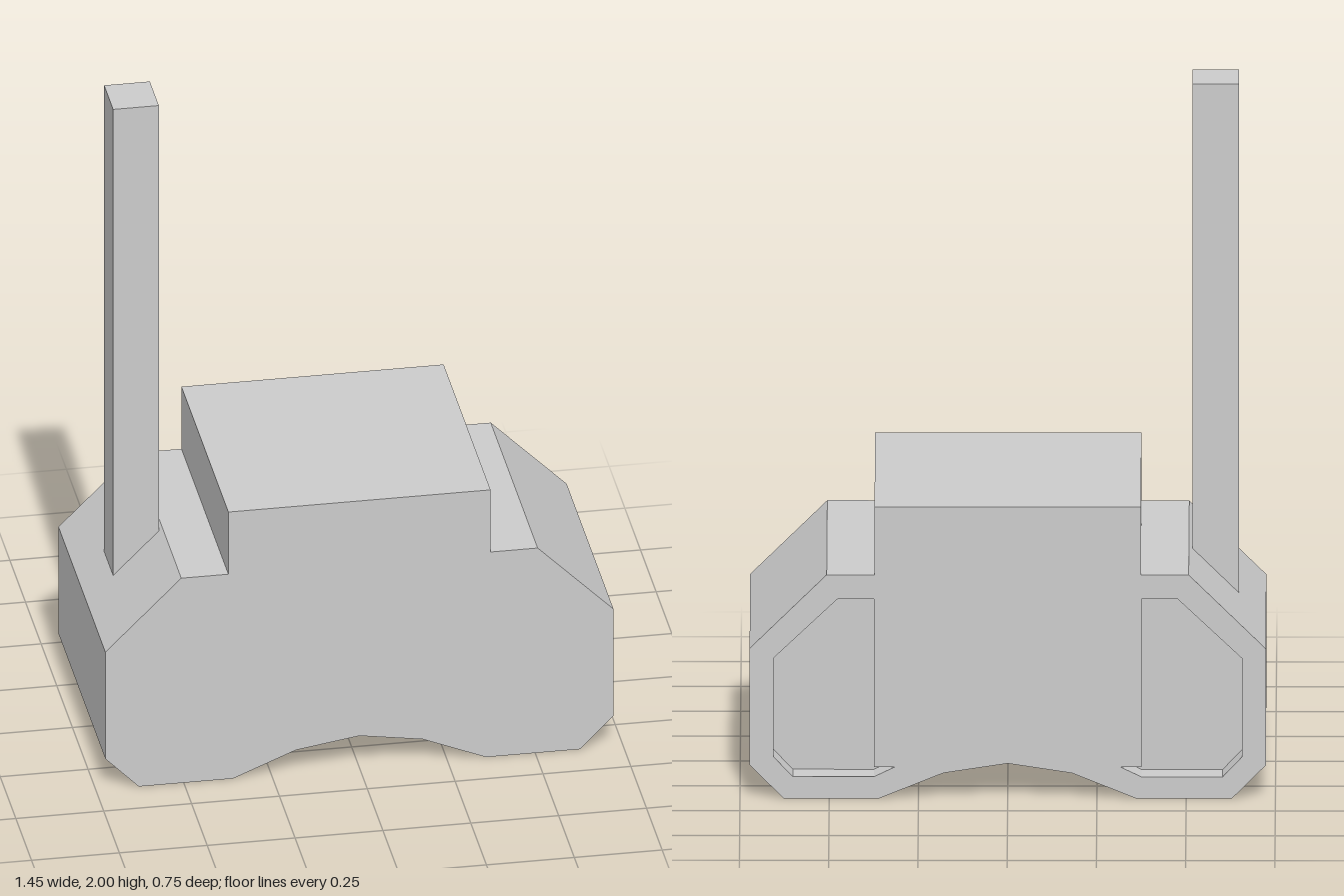
import * as THREE from 'three';

const HALF_DEPTH = 0.375;
const RECESS_DEPTH = 0.075;

// Right halves of the symmetric outlines (x, y)
const BODY = [
  [0, 0.105], [0.18, 0.077], [0.36, 0.003], [0.628, 0.003], [0.723, 0.1],
  [0.723, 0.44], [0.507, 0.655], [0.373, 0.655], [0.373, 0.853],
];
const RECESS = [
  [0.315, 0.095], [0.375, 0.066], [0.602, 0.066], [0.656, 0.124],
  [0.656, 0.412], [0.476, 0.585], [0.375, 0.585], [0.375, 0.095],
];

const points = (list, sx = 1) => list.map(([x, y]) => new THREE.Vector2(x * sx, y));

function bodyShape() {
  const left = points(BODY.slice(1), -1).reverse();
  return new THREE.Shape([...points(BODY), ...left]);
}

export function createModel() {
  const group = new THREE.Group();
  const material = new THREE.MeshStandardMaterial({ color: 0xcccccc, flatShading: true });

  const add = (name, geometry, x, y, z) => {
    const mesh = new THREE.Mesh(geometry, material);
    mesh.name = name;
    mesh.position.set(x, y, z);
    group.add(mesh);
  };
  const extrude = (shape, depth) =>
    new THREE.ExtrudeGeometry(shape, { depth, bevelEnabled: false });

  // Solid main body, its rear face forming the floor of the recesses
  add('body', extrude(bodyShape(), 2 * HALF_DEPTH - RECESS_DEPTH), 0, 0, RECESS_DEPTH - HALF_DEPTH);

  // Rear slab with a mirrored pair of recesses
  const rear = bodyShape();
  for (const side of [1, -1]) rear.holes.push(new THREE.Path(points(RECESS, side)));
  add('recessedBack', extrude(rear, RECESS_DEPTH), 0, 0, -HALF_DEPTH);

  // Tall square antenna rising from the sloped right shoulder
  const bottom = 0.42, top = 2;
  add('antenna', new THREE.BoxGeometry(0.13, top - bottom, 0.144), -0.582, (top + bottom) / 2, 0);

  return group;
}
